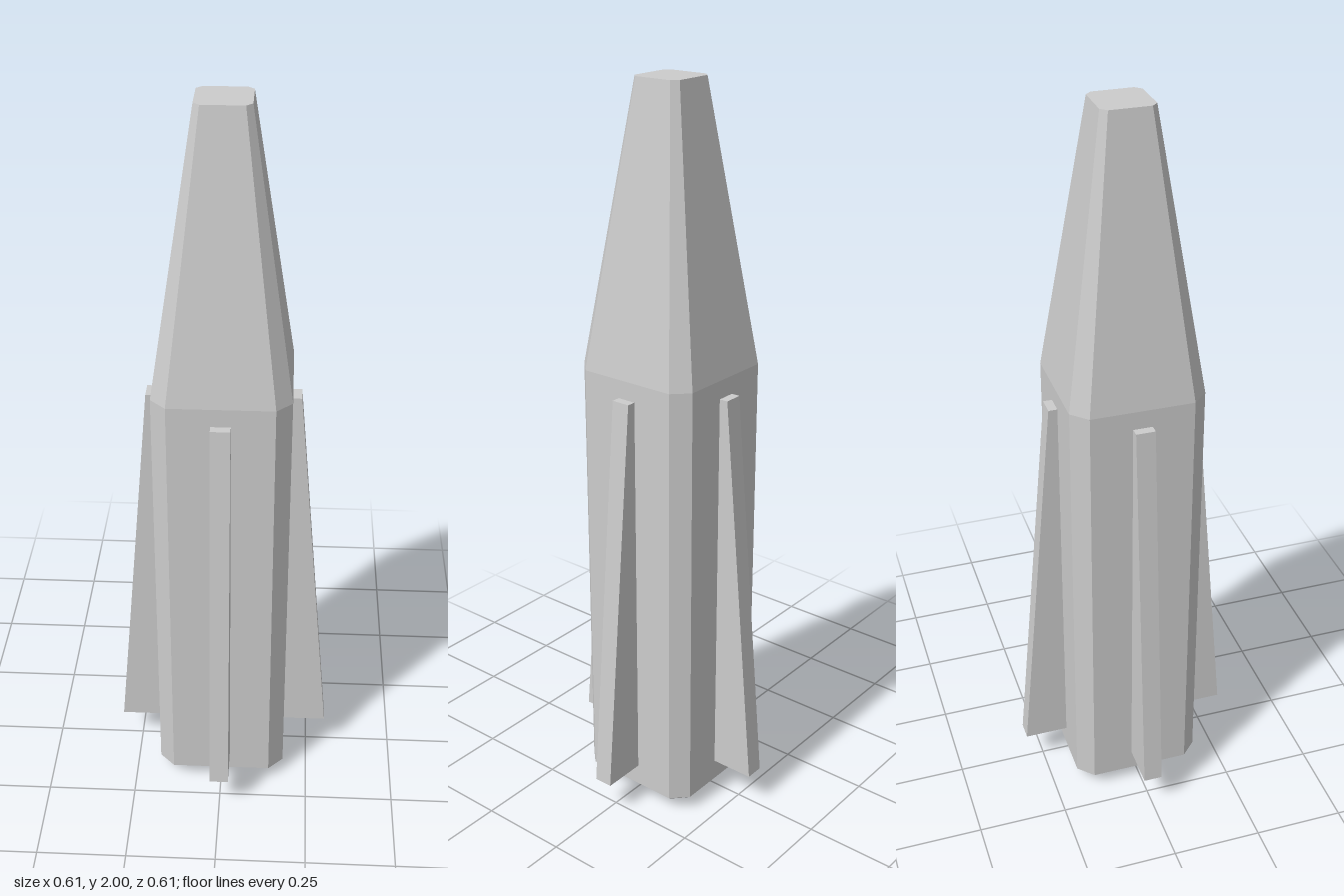
import * as THREE from 'three';

const material = new THREE.MeshStandardMaterial({ color: 0xcccccc, flatShading: true, side: THREE.DoubleSide });

// Square cross-section with cut corners, scaled from the full body width
function ring(half, y) {
  const a = half, b = half * 0.77;
  return [[b, a], [a, b], [a, -b], [b, -a], [-b, -a], [-a, -b], [-a, b], [-b, a]]
    .map(([x, z]) => new THREE.Vector3(x, y, z));
}

// Flat-sided solid through a stack of rings, with optional end caps
function loft(name, rings, capBottom, capTop) {
  const pos = [];
  const tri = (...pts) => pts.forEach((p) => pos.push(p.x, p.y, p.z));
  for (let r = 0; r < rings.length - 1; r++) {
    const lo = rings[r], hi = rings[r + 1];
    for (let i = 0; i < lo.length; i++) {
      const j = (i + 1) % lo.length;
      tri(lo[i], lo[j], hi[j]);
      tri(lo[i], hi[j], hi[i]);
    }
  }
  const first = rings[0], last = rings[rings.length - 1];
  for (let i = 1; i < first.length - 1; i++) {
    if (capBottom) tri(first[0], first[i + 1], first[i]);
    if (capTop) tri(last[0], last[i], last[i + 1]);
  }
  const geometry = new THREE.BufferGeometry();
  geometry.setAttribute('position', new THREE.Float32BufferAttribute(pos, 3));
  geometry.computeVertexNormals();
  const mesh = new THREE.Mesh(geometry, material);
  mesh.name = name;
  return mesh;
}

export function createModel() {
  const group = new THREE.Group();
  group.name = 'rocket';

  // Body with bevelled base, and the tapered blunt nose
  group.add(loft('body', [ring(0.14, 0), ring(0.181, 0.04), ring(0.181, 1.26)], true, false));
  group.add(loft('nose', [ring(0.181, 1.26), ring(0.07, 2)], false, true));

  // Four tapered fins, one on each flat side, rooted inside the body
  const thickness = 0.052;
  const outline = new THREE.Shape([
    new THREE.Vector2(0.15, 0.1), new THREE.Vector2(0.303, 0.1),
    new THREE.Vector2(0.205, 1.21), new THREE.Vector2(0.15, 1.21),
  ]);
  const finGeometry = new THREE.ExtrudeGeometry(outline, { depth: thickness, bevelEnabled: false });
  finGeometry.translate(0, 0, -thickness / 2);
  ['leftFin', 'backFin', 'rightFin', 'frontFin'].forEach((name, i) => {
    const fin = new THREE.Mesh(finGeometry, material);
    fin.name = name;
    fin.rotation.y = (i * Math.PI) / 2;
    group.add(fin);
  });

  return group;
}
